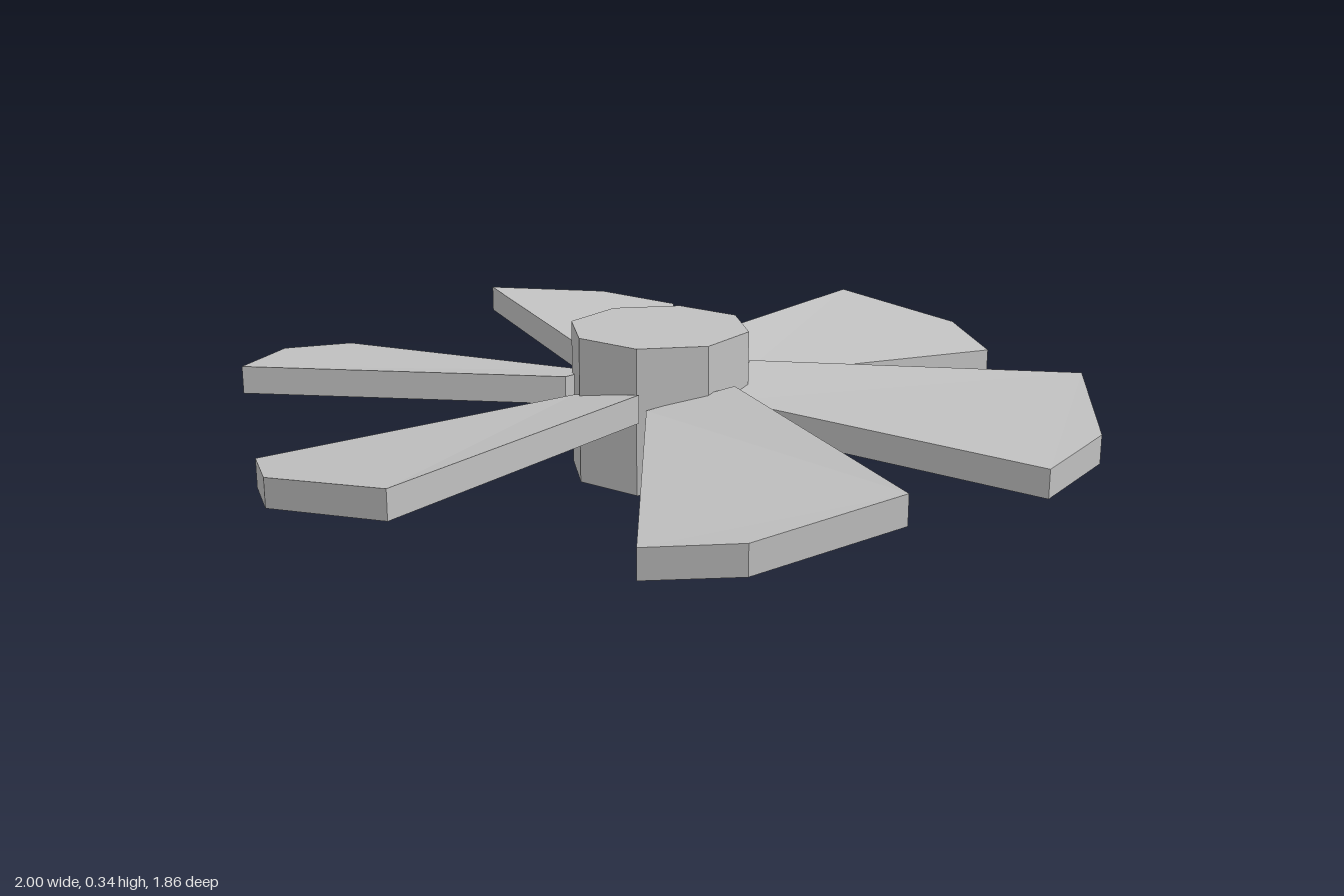
import * as THREE from 'three';

const gray = new THREE.MeshStandardMaterial({ color: 0xc0c0c0, flatShading: true });
gray.name = 'plain gray';

// One blade along +x: five corners [x, top y, z], extruded straight down
function bladeGeometry() {
  const corners = [
    [0.19, 0.24, -0.12], [0.95, 0.237, -0.205], [1.0, 0.193, 0.125],
    [0.9, 0.167, 0.305], [0.19, 0.2, 0.085],
  ];
  const thickness = 0.065;
  const top = corners.map(([x, y, z]) => [x, y, z]);
  const bottom = corners.map(([x, y, z]) => [x, y - thickness, z]);
  const positions = [];
  const tri = (a, b, c) => positions.push(...a, ...b, ...c);

  // Upper and lower faces: twisted body plus pointed tip
  for (const [a, b, c] of [[0, 1, 4], [1, 3, 4], [1, 2, 3]]) {
    tri(top[c], top[b], top[a]);
    tri(bottom[a], bottom[b], bottom[c]);
  }
  // Rim
  for (let i = 0; i < 5; i++) {
    const j = (i + 1) % 5;
    tri(top[i], top[j], bottom[j]);
    tri(top[i], bottom[j], bottom[i]);
  }
  const geometry = new THREE.BufferGeometry();
  geometry.setAttribute('position', new THREE.Float32BufferAttribute(positions, 3));
  geometry.computeVertexNormals();
  return geometry;
}

export function createModel() {
  const model = new THREE.Group();
  model.name = 'fan';

  // Octagonal hub
  const hub = new THREE.Mesh(new THREE.CylinderGeometry(0.21, 0.21, 0.34, 8), gray);
  hub.name = 'hub';
  hub.position.y = 0.17;
  model.add(hub);

  // Six pitched blades
  const geometry = bladeGeometry();
  for (let i = 0; i < 6; i++) {
    const blade = new THREE.Mesh(geometry, gray);
    blade.name = `blade${i + 1}`;
    blade.rotation.y = (i * Math.PI) / 3;
    model.add(blade);
  }
  return model;
}
